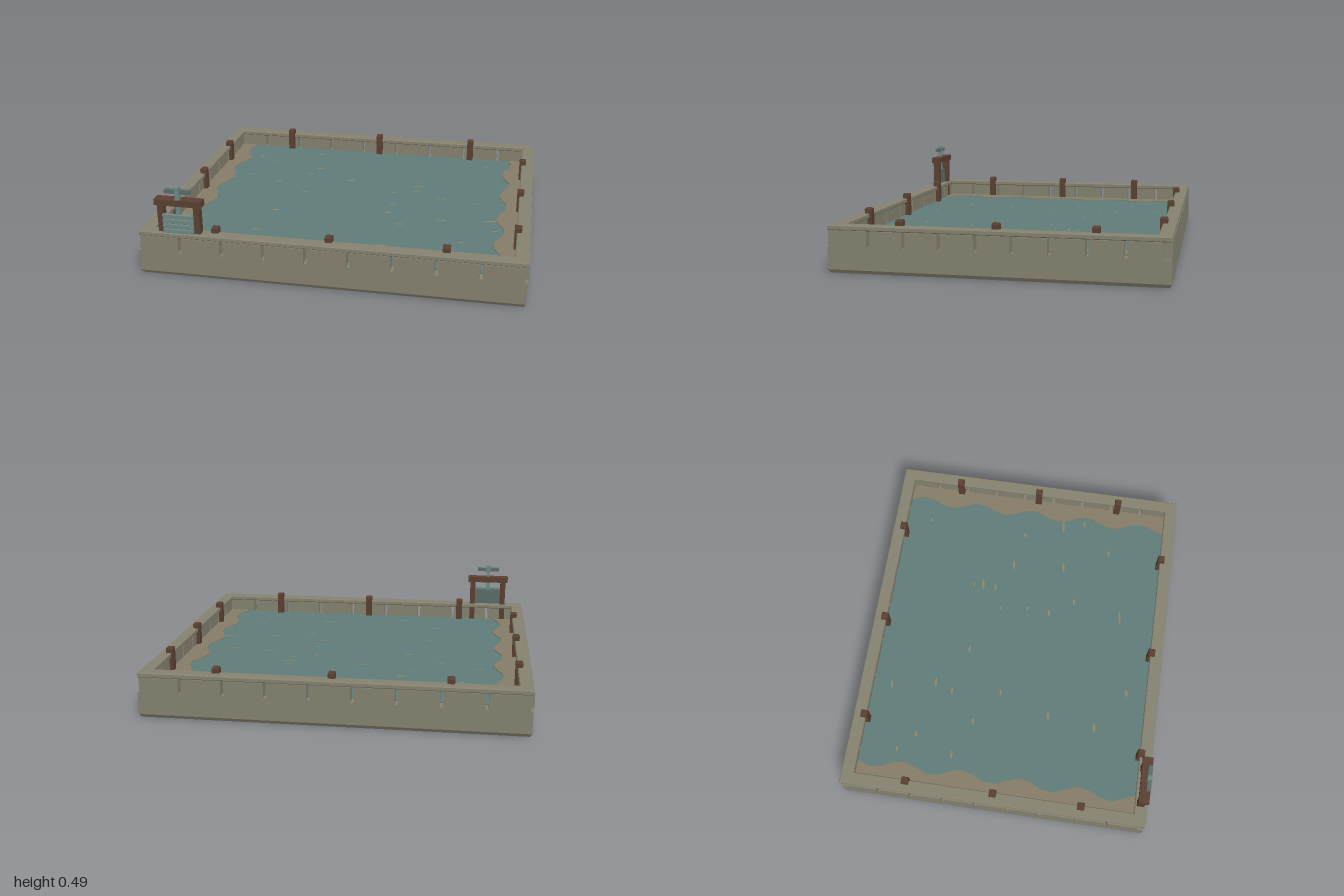
import * as THREE from 'three';

const mat = (name, color) => {
  const m = new THREE.MeshStandardMaterial({ color });
  m.name = name;
  return m;
};

export function createModel() {
  const stone = mat('stone', 0x858270);
  const mud = mat('mud', 0x857d68);
  const bed = mat('bed', 0x746e60);
  const water = mat('water', 0x607c78);
  const reflection = mat('driftTan', 0x8f8668);
  const wood = mat('wood', 0x5a4032);
  const metal = mat('weatheredMetal', 0x708985);
  const darkMetal = mat('darkMetal', 0x5a6c69);

  const model = new THREE.Group();
  model.name = 'waterBasin';
  const add = (name, geo, material, x = 0, y = 0, z = 0, parent = model) => {
    const m = new THREE.Mesh(geo, material);
    m.name = name;
    m.position.set(x, y, z);
    parent.add(m);
    return m;
  };
  // Box given by its lower and upper limits on each axis
  const box = (name, material, x0, x1, y0, y1, z0, z1, parent) =>
    add(name, new THREE.BoxGeometry(x1 - x0, y1 - y0, z1 - z0), material,
      (x0 + x1) / 2, (y0 + y1) / 2, (z0 + z1) / 2, parent);
  // Box with one edge ring chamfered: dir -1 for the bottom, 1 for the top
  const chamferBox = (w, h, d, c, dir) => {
    const g = new THREE.BoxGeometry(w, h, d, 1, 2, 1).toNonIndexed();
    const p = g.attributes.position;
    for (let i = 0; i < p.count; i++) {
      const y = p.getY(i);
      if (Math.abs(y) < 1e-6) p.setY(i, dir * (h / 2 - c));
      else if (y * dir > 0) {
        p.setX(i, p.getX(i) - Math.sign(p.getX(i)) * c * 0.6);
        p.setZ(i, p.getZ(i) - Math.sign(p.getZ(i)) * c * 0.6);
      }
    }
    g.computeVertexNormals();
    return g;
  };

  // Solid base course with a darker underside
  add('baseCourse', chamferBox(1.984, 0.135, 1.69, 0.018, -1),
    [stone, stone, stone, bed, stone, stone], 0, 0.0675, 0);

  // Upper course: blocks with narrow open joints
  const gap = 0.017;
  const blocks = new THREE.Group();
  blocks.name = 'upperCourse';
  model.add(blocks);
  for (const s of [-1, 1]) {
    for (let i = -4; i <= 4; i++) {
      const hx = 0.11 - gap / 2, hz = 0.09 - gap / 2;
      add('longWallBlock', new THREE.BoxGeometry(hx * 2, 0.08, 0.06), stone,
        i * 0.22, 0.175, s * 0.815, blocks);
      add('shortWallBlock', new THREE.BoxGeometry(0.063, 0.08, hz * 2), stone,
        s * 0.9665, 0.175, i * 0.18, blocks);
    }
  }

  // Coping frame on top of the walls
  const rect = (C, w, d) => {
    const s = new C();
    s.moveTo(-w, -d);
    s.lineTo(w, -d);
    s.lineTo(w, d);
    s.lineTo(-w, d);
    s.closePath();
    return s;
  };
  const frame = rect(THREE.Shape, 0.986, 0.839);
  frame.holes.push(rect(THREE.Path, 0.928, 0.778));
  const coping = new THREE.ExtrudeGeometry(frame, {
    depth: 0.017, bevelEnabled: true, bevelThickness: 0.004, bevelSize: 0.004, bevelSegments: 1,
  });
  coping.rotateX(-Math.PI / 2);
  add('coping', coping, stone, 0, 0.219, 0);

  // Water sheet and wavy mud banks along both short sides
  box('waterSurface', water, -0.935, 0.935, 0.13, 0.14, -0.785, 0.785);
  for (const s of [-1, 1]) {
    const bank = new THREE.Shape();
    bank.moveTo(s * 0.935, -0.785);
    const n = 24;
    for (let i = 0; i <= n; i++) {
      const z = -0.785 + (1.57 * i) / n;
      bank.lineTo(s * (0.835 + 0.027 * Math.cos((2 * Math.PI * (z + 0.7)) / 0.335)), -z * -1);
    }
    bank.lineTo(s * 0.935, 0.785);
    const g = new THREE.ExtrudeGeometry(bank, { depth: 0.005, bevelEnabled: false });
    g.rotateX(Math.PI / 2);
    add(s > 0 ? 'leftMudBank' : 'rightMudBank', g, mud, 0, 0.144, 0);
  }

  // Thin drifting streaks: x, z, length
  const streaks = [
    [-0.37, -0.68, 0.05], [-0.74, -0.58, 0.03], [-0.64, -0.49, 0.04], [-0.32, -0.43, 0.06],
    [-0.36, -0.33, 0.04], [-0.73, -0.27, 0.05], [-0.09, -0.27, 0.05], [-0.52, -0.18, 0.04],
    [-0.33, -0.05, 0.04], [-0.43, 0.24, 0.05], [-0.46, 0.51, 0.07], [-0.23, 0.67, 0.05],
    [0.32, -0.31, 0.03], [0.33, -0.255, 0.08], [0.32, -0.18, 0.05], [0.19, -0.13, 0.03],
    [0.48, -0.09, 0.07], [0.69, -0.05, 0.04], [0.21, 0.03, 0.03], [0.2, 0.16, 0.05],
    [0.51, 0.21, 0.07], [0.78, 0.175, 0.09], [0.29, 0.3, 0.05], [0.81, 0.3, 0.04],
    [0.64, 0.47, 0.04], [0.23, 0.58, 0.08], [0.71, -0.64, 0.03],
  ];
  for (const [x, z, len] of streaks) {
    const g = new THREE.CircleGeometry(0.5, 6);
    g.scale(len, 0.014, 1);
    g.rotateX(-Math.PI / 2);
    g.rotateY(0.12);
    add('driftStreak', g, reflection, x, 0.1425, z);
  }

  // Short timber posts along the inner face of the walls
  const post = (x, z) =>
    add('timberPost', chamferBox(0.038, 0.15, 0.038, 0.006, 1), wood, x, 0.195, z);
  for (const s of [-1, 1]) {
    for (const x of [-0.593, 0, 0.593]) post(x, s * 0.78);
    for (const z of [-0.485, 0, 0.485]) post(s * 0.932, z);
  }

  // Sluice gate on the front wall
  const gate = new THREE.Group();
  gate.name = 'sluiceGate';
  gate.position.set(-0.772, 0, 0);
  model.add(gate);
  for (const s of [-1, 1]) {
    box('gatePost', wood, s * 0.096 - 0.016, s * 0.096 + 0.016, 0.14, 0.39, 0.784, 0.824, gate);
  }
  box('gateLintel', wood, -0.125, 0.125, 0.387, 0.42, 0.775, 0.83, gate);
  box('gatePanel', darkMetal, -0.08, 0.08, 0.225, 0.333, 0.808, 0.826, gate);
  for (let i = 0; i < 4; i++) {
    const y = 0.241 + i * 0.027;
    box('gateSlat', metal, -0.081, 0.081, y, y + 0.02, 0.82, 0.838, gate);
  }
  box('gateSpindle', metal, -0.012, 0.012, 0.33, 0.49, 0.802, 0.826, gate);
  box('gateHandle', darkMetal, -0.067, 0.067, 0.454, 0.475, 0.803, 0.825, gate);

  return model;
}
